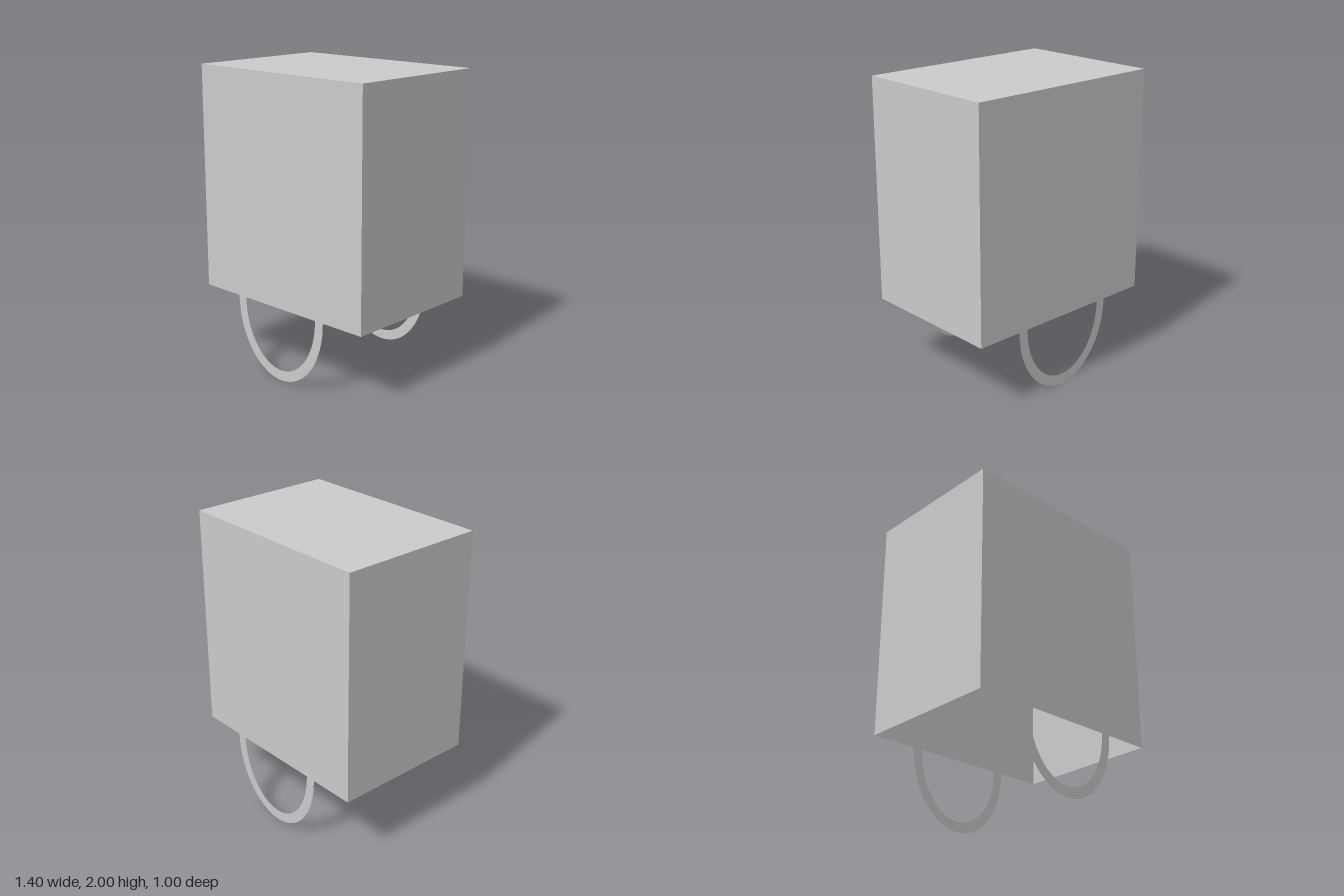
import * as THREE from 'three';

const WIDTH = 1.404, DEPTH = 1.005, TOP = 2, RIM = 0.493;
const paper = new THREE.MeshStandardMaterial({ color: 0xcccccc, side: THREE.DoubleSide });
paper.name = 'paleGrey';

// Thin-walled bag, closed on top and open underneath
function createBag() {
  const geometry = new THREE.BoxGeometry(WIDTH, TOP - RIM, DEPTH);
  const index = Array.from(geometry.index.array);
  index.splice(18, 6); // remove the bottom face
  geometry.setIndex(index);
  geometry.clearGroups();
  const bag = new THREE.Mesh(geometry, paper);
  bag.name = 'bagBody';
  bag.position.y = (TOP + RIM) / 2;
  return bag;
}

// Flat half-ellipse strap hanging from the rim
function createHandle(name, z) {
  const shape = new THREE.Shape();
  shape.absellipse(0, 0, 0.386, RIM, Math.PI, Math.PI * 2, false);
  shape.absellipse(0, 0, 0.318, RIM - 0.07, Math.PI * 2, Math.PI, true);
  shape.closePath();
  const handle = new THREE.Mesh(new THREE.ShapeGeometry(shape, 32), paper);
  handle.name = name;
  handle.position.set(0, RIM, z);
  return handle;
}

export function createModel() {
  const model = new THREE.Group();
  model.name = 'carrierBag';
  model.add(
    createBag(),
    createHandle('frontHandle', DEPTH / 2),
    createHandle('backHandle', -DEPTH / 2),
  );
  return model;
}
